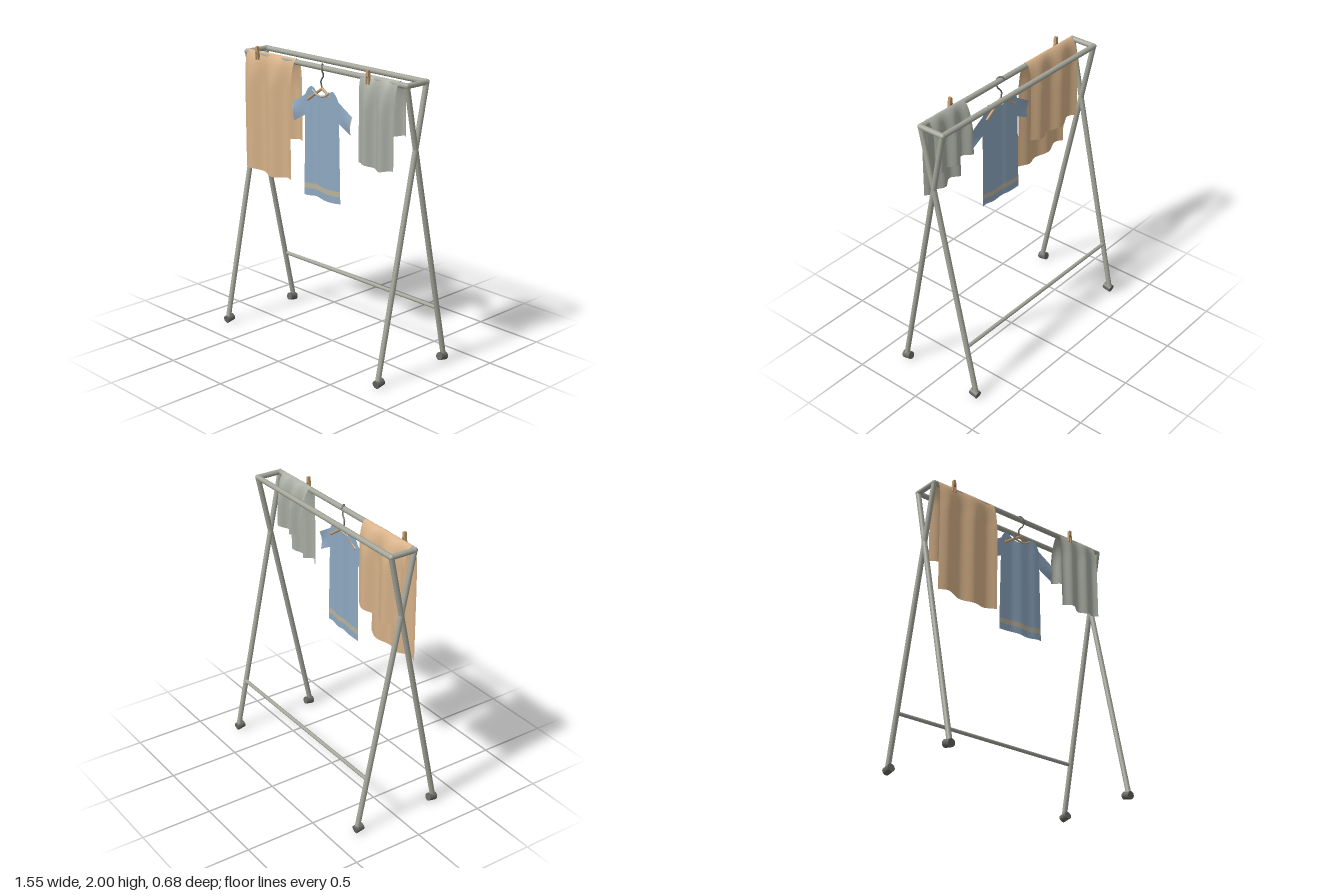
import * as THREE from 'three';

const V = (x, y, z) => new THREE.Vector3(x, y, z);
const mat = (name, color, side = THREE.FrontSide) => {
  const m = new THREE.MeshStandardMaterial({ color, side });
  m.name = name;
  return m;
};

export function createModel() {
  const root = new THREE.Group();
  root.name = 'clothesRack';
  const metal = mat('frame grey', 0xa4a69a);
  const dark = mat('dark rubber', 0x666864);
  const wood = mat('wood', 0xc39b6c);
  const peach = mat('peach cloth', 0xd6b188, THREE.DoubleSide);
  const grey = mat('grey cloth', 0xa9ada3, THREE.DoubleSide);
  const blue = mat('blue cloth', 0x8ea8c1, THREE.DoubleSide);
  const cream = mat('cream trim', 0xb9b29c, THREE.DoubleSide);

  const add = (name, geo, material, parent = root) => {
    const m = new THREE.Mesh(geo, material);
    m.name = name;
    parent.add(m);
    return m;
  };
  // straight round bar between two points
  const bar = (name, a, b, r, material, parent) => {
    const m = add(name, new THREE.CylinderGeometry(r, r, a.distanceTo(b), 14), material, parent);
    m.position.copy(a).lerp(b, 0.5);
    m.quaternion.setFromUnitVectors(V(0, 1, 0), b.clone().sub(a).normalize());
    return m;
  };
  const tube = (name, pts, r, material, parent) =>
    add(name, new THREE.TubeGeometry(new THREE.CatmullRomCurve3(pts), 32, r, 8), material, parent);
  // cloth surface from a rule point(u, v), both 0..1
  const sheet = (name, nu, nv, point, material, parent) => {
    const g = new THREE.PlaneGeometry(1, 1, nu, nv);
    const p = g.attributes.position;
    for (let i = 0; i < p.count; i++) {
      const q = point(p.getX(i) + 0.5, p.getY(i) + 0.5);
      p.setXYZ(i, q.x, q.y, q.z);
    }
    g.computeVertexNormals();
    return add(name, g, material, parent);
  };

  // frame: crossed legs, feet and rails
  const X = 0.747, RY = 1.94, RZ = 0.088, R = 0.018;
  for (const sx of [-1, 1]) {
    for (const sz of [-1, 1]) {
      bar('leg', V(sx * X, RY, -sz * RZ), V(sx * X, 0.045, sz * 0.313), R, metal);
      const foot = add('foot', new THREE.CylinderGeometry(0.027, 0.027, 0.06, 16), dark);
      foot.rotation.x = Math.PI / 2 + sz * 0.2;
      foot.position.set(sx * X, 0.0325, sz * 0.304);
      add('cornerJoint', new THREE.SphereGeometry(0.0195, 14, 10), metal).position.set(sx * X, RY, sz * RZ);
    }
    bar('endBar', V(sx * X, RY, -RZ), V(sx * X, RY, RZ), R, metal);
  }
  for (const sz of [-1, 1]) bar('topRail', V(-X, RY, sz * RZ), V(X, RY, sz * RZ), R, metal);
  bar('lowerRail', V(-X, 0.395, -0.244), V(X, 0.395, -0.244), 0.013, metal);

  // towels draped over the front rail
  const towel = (name, x0, x1, frontY, backY, crest, period, material) =>
    sheet(name, 48, 48, (u, v) => {
      const x = x0 + (x1 - x0) * u;
      const t = 1 - 2 * v; // +1 front hem, -1 back hem
      const front = t > 0;
      const wave = Math.cos((2 * Math.PI * (x - crest)) / period);
      const hem = (front ? frontY : backY) + 0.01 * Math.sin(2 * Math.PI * u * 1.2 + 0.4);
      const d = (1.99 - hem) * t * t;
      const out = (front ? 0.047 : -0.063) * (1 - Math.exp(-d / 0.07));
      const fold = (front ? 0.017 : 0.021) * wave * Math.min(1, d / 0.22);
      return V(x, 1.962 - (d * d) / (d + 0.03), RZ + out + fold);
    }, material);
  towel('peachTowel', -0.725, -0.248, 1.13, 1.38, -0.44, 0.22, peach);
  towel('greyTowel', 0.365, 0.69, 1.38, 1.59, 0.44, 0.14, grey);

  // clothes pegs: two slats with a spring
  for (const x of [-0.605, 0.445]) {
    const peg = new THREE.Group();
    peg.name = 'clothesPeg';
    for (const s of [-1, 1]) {
      const slat = add('slat', new THREE.BoxGeometry(0.011, 0.09, 0.02), wood, peg);
      slat.position.x = s * 0.007;
      slat.rotation.z = s * 0.09;
    }
    const spring = add('spring', new THREE.CylinderGeometry(0.006, 0.006, 0.024, 10), dark, peg);
    spring.rotation.x = Math.PI / 2;
    peg.position.set(x, 1.953, 0.12);
    root.add(peg);
  }

  // hanger with wire hook
  const hanger = new THREE.Group();
  hanger.name = 'hanger';
  for (const s of [-1, 1]) bar('hangerArm', V(0, 1.803, 0.09), V(s * 0.14, 1.707, 0.09), 0.009, wood, hanger);
  add('hangerPeak', new THREE.SphereGeometry(0.0095, 12, 8), wood, hanger).position.set(0, 1.803, 0.09);
  tube('hook', [V(0, 1.8, 0.09), V(-0.01, 1.85, 0.092), V(0.022, 1.895, 0.1), V(0.018, 1.935, 0.112),
    V(0, 1.965, 0.09), V(-0.015, 1.945, 0.066)], 0.005, dark, hanger);
  root.add(hanger);

  // shirt: body in bands, sleeves, cuffs and collar
  const shirt = new THREE.Group();
  shirt.name = 'shirt';
  const fold = (x) => 0.093 + 0.009 * Math.sin(14 * x) + 0.003 * Math.cos(44 * x);
  const top = (x) => {
    const a = Math.abs(x);
    return a < 0.08 ? 1.75 + 5.3 * a * a : 1.8 - 18 * (a - 0.11) ** 2;
  };
  const band = (name, low, high, nv, material) =>
    sheet(name, 48, nv, (u, v) => {
      const k = 2 * u - 1;
      const ripple = 0.005 * Math.sin(k * 5 + 3);
      const y0 = low + ripple;
      const y1 = high ? high + ripple : top(k * 0.172);
      const y = y0 + (y1 - y0) * v;
      const x = k * (0.168 + 0.011 * Math.max(0, (1.6 - y) / 0.55));
      return V(x, y, fold(x));
    }, material, shirt);
  band('shirtHem', 1.05, 1.098, 2, blue);
  band('hemStripe', 1.098, 1.135, 2, cream);
  band('shirtBody', 1.135, 0, 24, blue);
  for (const s of [-1, 1]) {
    const sleeve = (name, a, b, material) =>
      sheet(name, 10, 8, (u, v) => {
        const t = a + (b - a) * u;
        const lo = [0.165 + 0.11 * t, 1.6 - 0.06 * t];
        const hi = [0.165 + 0.125 * t, 1.738 - 0.075 * t];
        const x = s * (lo[0] + (hi[0] - lo[0]) * v);
        return V(x, lo[1] + (hi[1] - lo[1]) * v, fold(s * 0.165) + 0.012 * t * Math.sin(Math.PI * v));
      }, material, shirt);
    sleeve('sleeve', 0, 0.95, blue);
    sleeve('cuff', 0.95, 1, cream);
  }
  tube('collar', [-0.08, -0.04, 0, 0.04, 0.08].map((x) => V(x, top(x * 0.99) + 0.002, 0.105)), 0.007, grey, shirt);
  root.add(shirt);

  return root;
}
